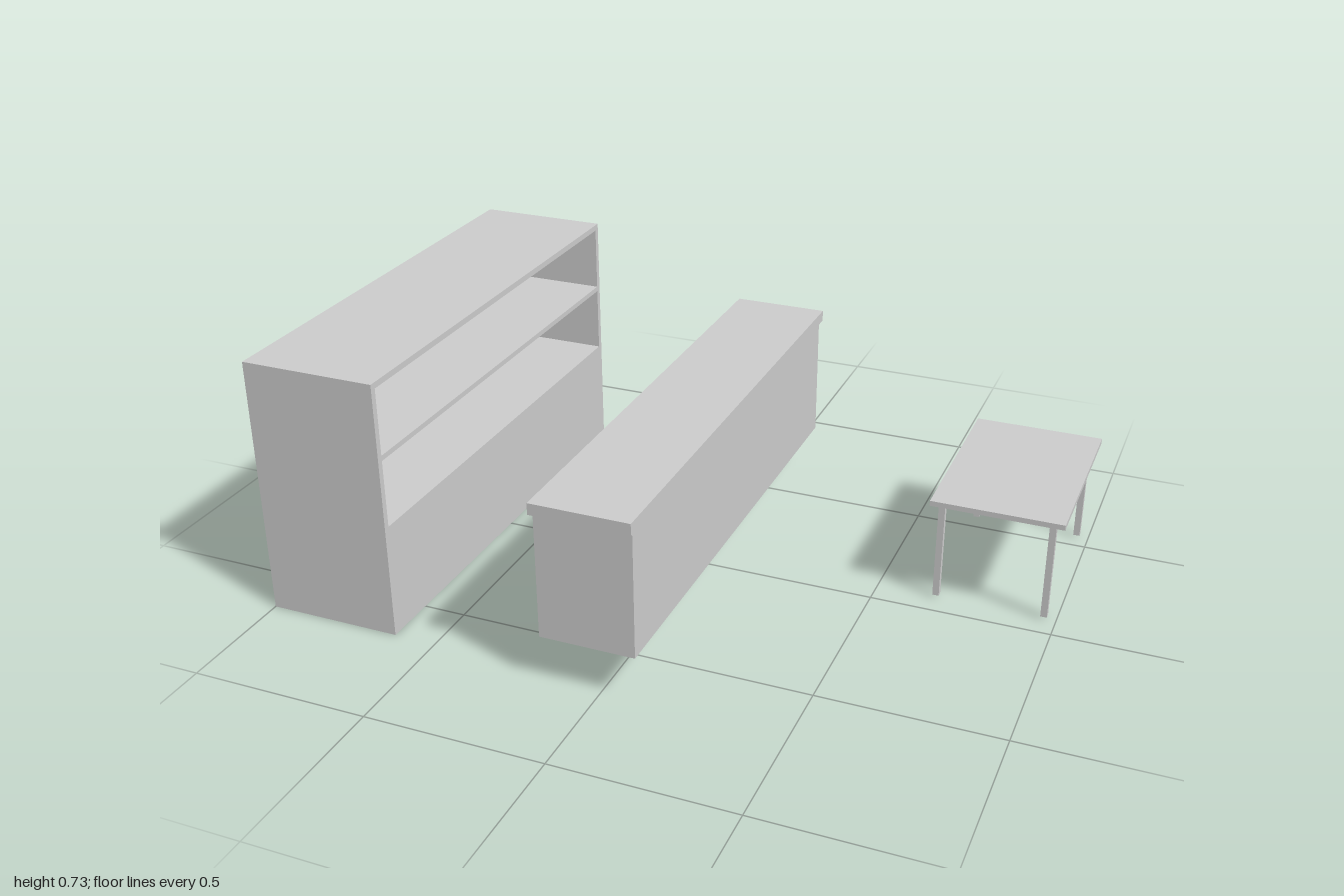
import * as THREE from 'three';

const material = new THREE.MeshStandardMaterial({ color: 0xcccccc, flatShading: true });

// Box given by its low and high extents on each axis
function box(name, [x0, x1], [y0, y1], [z0, z1]) {
  const mesh = new THREE.Mesh(new THREE.BoxGeometry(x1 - x0, y1 - y0, z1 - z0), material);
  mesh.position.set((x0 + x1) / 2, (y0 + y1) / 2, (z0 + z1) / 2);
  mesh.name = name;
  return mesh;
}

function group(name, ...parts) {
  const g = new THREE.Group();
  g.name = name;
  g.add(...parts);
  return g;
}

// Back cabinet: solid base with two open shelf bays facing +x
function createCabinet() {
  const t = 0.017, x = [-1, -0.62], z = 0.655, h = 0.732, base = 0.322;
  const inner = [-z + t, z - t];
  return group('cabinet',
    box('cabinetBase', x, [0, base], [-z, z]),
    box('cabinetTop', x, [h - t, h], [-z, z]),
    box('cabinetLeftSide', x, [base, h - t], [z - t, z]),
    box('cabinetRightSide', x, [base, h - t], [-z, -z + t]),
    box('cabinetBack', [x[0], x[0] + t], [base, h - t], inner),
    box('cabinetShelf', [x[0] + t, x[1]], [0.513, 0.528], inner));
}

// Raised counter with a slightly overhanging slab
function createCounter() {
  return group('counter',
    box('counterBody', [-0.162, 0.102], [0.135, 0.493], [-0.698, 0.7]),
    box('counterTop', [-0.167, 0.107], [0.493, 0.525], [-0.718, 0.718]));
}

// Small table on four square legs
function createTable() {
  const table = group('table', box('tableTop', [0.636, 1], [0.292, 0.307], [-0.6, -0.05]));
  for (const x of [0.657, 0.957]) {
    for (const z of [-0.566, -0.086]) {
      table.add(box('tableLeg', [x, x + 0.018], [0.007, 0.292], [z, z + 0.018]));
    }
  }
  return table;
}

export function createModel() {
  return group('shopFurniture', createCabinet(), createCounter(), createTable());
}
